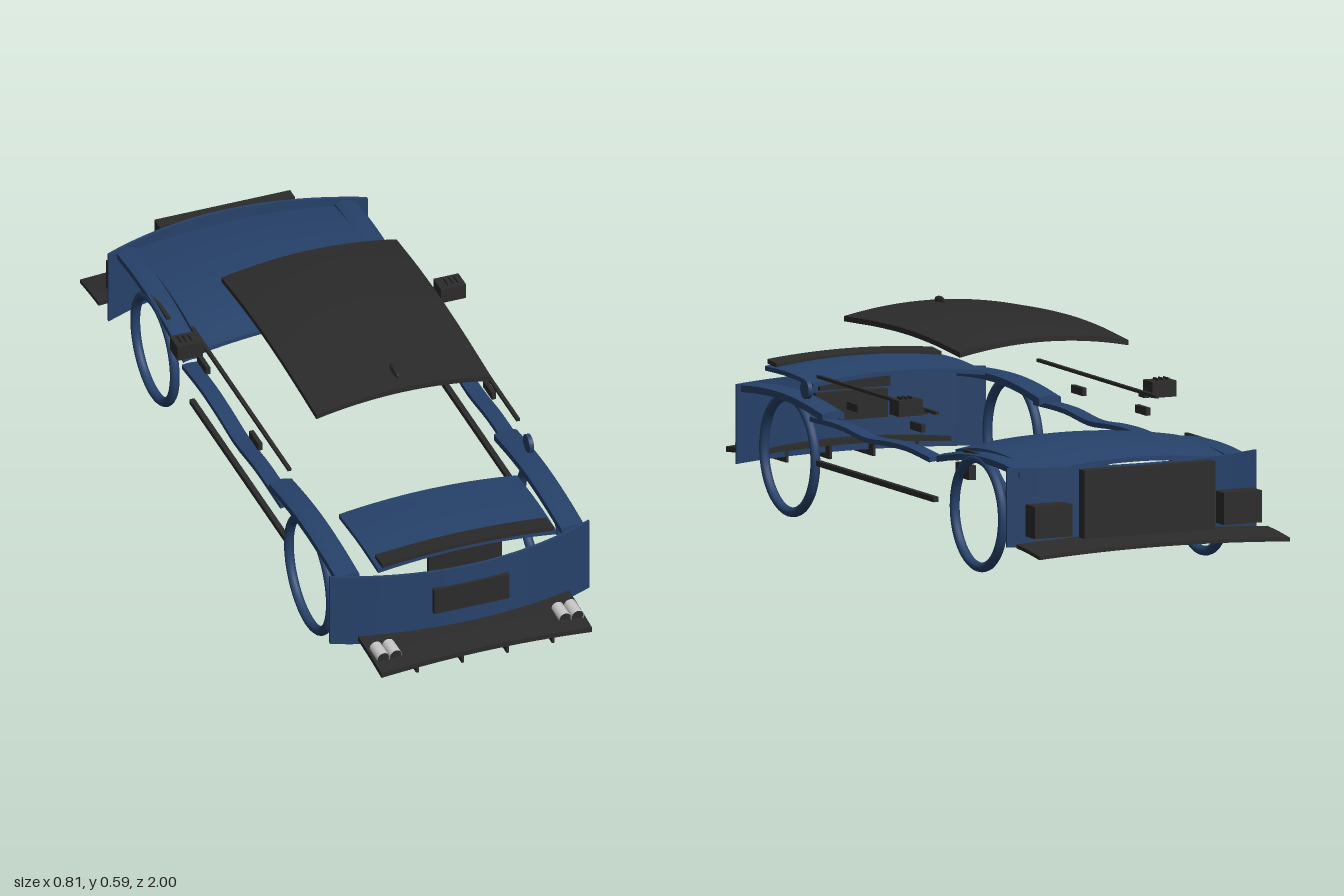
import * as THREE from 'three';

const material = (color) => new THREE.MeshStandardMaterial({ color, side: THREE.DoubleSide });

export function createModel() {
  const model = new THREE.Group();
  const blue = material(0x27426b), dark = material(0x2b2b2b), grey = material(0xcccccc);

  function add(name, geometry, mat, x = 0, y = 0, z = 0) {
    const mesh = new THREE.Mesh(geometry, mat);
    mesh.name = name;
    mesh.position.set(x, y, z);
    model.add(mesh);
    return mesh;
  }
  const box = (name, mat, w, h, d, x, y, z) => add(name, new THREE.BoxGeometry(w, h, d), mat, x, y, z);

  // Thin panel following a [z, y] line of its top, dropping by crown at both sides
  function sheet(name, mat, width, thick, crown, line, x = 0) {
    const curve = new THREE.CatmullRomCurve3(line.map(([z, y]) => new THREE.Vector3(0, y, z)));
    const g = new THREE.BoxGeometry(width, thick, 1, 20, 1, 20);
    const p = g.attributes.position;
    for (let i = 0; i < p.count; i++) {
      const c = curve.getPoint(THREE.MathUtils.clamp(0.5 - p.getZ(i), 0, 1));
      const s = 2 * p.getX(i) / width;
      p.setY(i, p.getY(i) + c.y - thick / 2 - crown * s * s);
      p.setZ(i, c.z);
    }
    g.computeVertexNormals();
    return add(name, g, mat, x);
  }

  // Upright bumper skin, bowed outwards in the direction of sign
  function bumper(name, sign) {
    const g = new THREE.BoxGeometry(0.726, 0.21, 0.008, 28, 1, 1);
    const p = g.attributes.position;
    for (let i = 0; i < p.count; i++) {
      const s = p.getX(i) / 0.363;
      p.setZ(i, p.getZ(i) + sign * (0.881 - 0.08 * s * s));
    }
    g.computeVertexNormals();
    add(name, g, blue, 0, 0.219, 0);
  }

  // Roof with a small aerial on top and a lamp beneath
  sheet('roof', dark, 0.49, 0.014, 0.026, [[0.4, 0.578], [0.2, 0.59], [0.03, 0.594], [-0.13, 0.589], [-0.285, 0.576]]);
  const fin = add('roofAerial', new THREE.SphereGeometry(0.012, 16, 10), dark, 0, 0.586, 0.33);
  fin.scale.set(0.5, 1, 2.6);
  box('roofLamp', dark, 0.02, 0.008, 0.03, 0, 0.564, 0.36);

  // Deck with its lip spoiler
  sheet('deck', blue, 0.5, 0.012, 0.018, [[0.86, 0.375], [0.72, 0.377], [0.575, 0.368]]);
  sheet('lipSpoiler', dark, 0.48, 0.012, 0.013, [[0.865, 0.387], [0.81, 0.382]]);
  box('deckPanel', dark, 0.205, 0.075, 0.012, 0, 0.322, 0.84);

  // Hood at the other end
  sheet('hood', blue, 0.56, 0.012, 0.024, [[-0.33, 0.327], [-0.45, 0.347], [-0.57, 0.353], [-0.7, 0.346], [-0.82, 0.331]]);

  // Bumper skins, plate, grille and intakes
  bumper('deckBumper', 1);
  bumper('hoodBumper', -1);
  box('platePanel', dark, 0.21, 0.075, 0.04, 0, 0.237, 0.872);
  box('grille', dark, 0.38, 0.18, 0.035, 0, 0.23, -0.895);

  // Aprons below the bumpers
  sheet('diffuser', dark, 0.59, 0.014, 0.014, [[0.83, 0.153], [0.92, 0.149], [1, 0.142]]);
  sheet('splitter', dark, 0.73, 0.01, 0.012, [[-0.865, 0.143], [-0.93, 0.138], [-1, 0.13]]);
  for (const x of [-0.19, -0.063, 0.063, 0.19])
    box('diffuserFin', dark, 0.007, 0.036, 0.14, x, 0.117, 0.92);

  for (const s of [-1, 1]) {
    // Wheel arch rings
    for (const [z, r] of [[0.56, 0.152], [-0.56, 0.143]]) {
      const ring = add('wheelRing', new THREE.TorusGeometry(r, 0.013, 12, 56), blue, s * 0.325, 0.17, z);
      ring.rotation.y = Math.PI / 2;
    }
    // Fender tops, waist rail, window trim and sill
    sheet('deckFender', blue, 0.064, 0.018, 0.006,
      [[0.81, 0.326], [0.69, 0.336], [0.56, 0.339], [0.44, 0.331], [0.32, 0.315]], s * 0.315);
    sheet('hoodFender', blue, 0.056, 0.016, 0.006,
      [[-0.33, 0.295], [-0.44, 0.315], [-0.56, 0.328], [-0.69, 0.329], [-0.82, 0.319]], s * 0.307);
    sheet('waistRail', blue, 0.042, 0.013, 0.002,
      [[0.4, 0.295], [0.22, 0.297], [0.07, 0.285], [-0.06, 0.293], [-0.18, 0.295], [-0.31, 0.285]], s * 0.325);
    box('windowTrim', dark, 0.01, 0.008, 0.705, s * 0.32, 0.397, 0.048);
    box('sill', dark, 0.014, 0.014, 0.7, s * 0.322, 0.169, 0.05);
    box('fenderSlot', dark, 0.01, 0.008, 0.18, s * 0.322, 0.322, -0.56);

    // Door handles and side vents
    for (const z of [0.175, -0.203]) box('doorHandle', dark, 0.012, 0.021, 0.066, s * 0.327, 0.348, z);
    box('sideVent', dark, 0.02, 0.038, 0.078, s * 0.31, 0.265, -0.452);

    // Door mirrors with ribs on top
    box('mirror', dark, 0.07, 0.042, 0.056, s * 0.369, 0.406, -0.22);
    box('mirrorStalk', dark, 0.026, 0.014, 0.035, s * 0.328, 0.392, -0.22);
    for (const x of [0.358, 0.373, 0.387]) box('mirrorRib', dark, 0.004, 0.007, 0.03, s * x, 0.43, -0.22);

    // Intakes beside the grille
    box('cornerIntake', dark, 0.11, 0.085, 0.055, s * 0.275, 0.19, -0.875);

    // Paired exhaust pipes
    for (const x of [0.237, 0.272]) {
      const pipe = add('exhaustPipe', new THREE.CylinderGeometry(0.017, 0.017, 0.058, 24, 1, true), grey, s * x, 0.142, 0.928);
      pipe.rotation.x = Math.PI / 2;
      const core = add('exhaustCore', new THREE.CylinderGeometry(0.0155, 0.0155, 0.052, 24), dark, s * x, 0.142, 0.928);
      core.rotation.x = Math.PI / 2;
    }
  }

  // Filler cap on one side only
  const cap = add('fillerCap', new THREE.CylinderGeometry(0.025, 0.025, 0.012, 28), blue, 0.328, 0.356, 0.455);
  cap.rotation.z = Math.PI / 2;

  return model;
}
